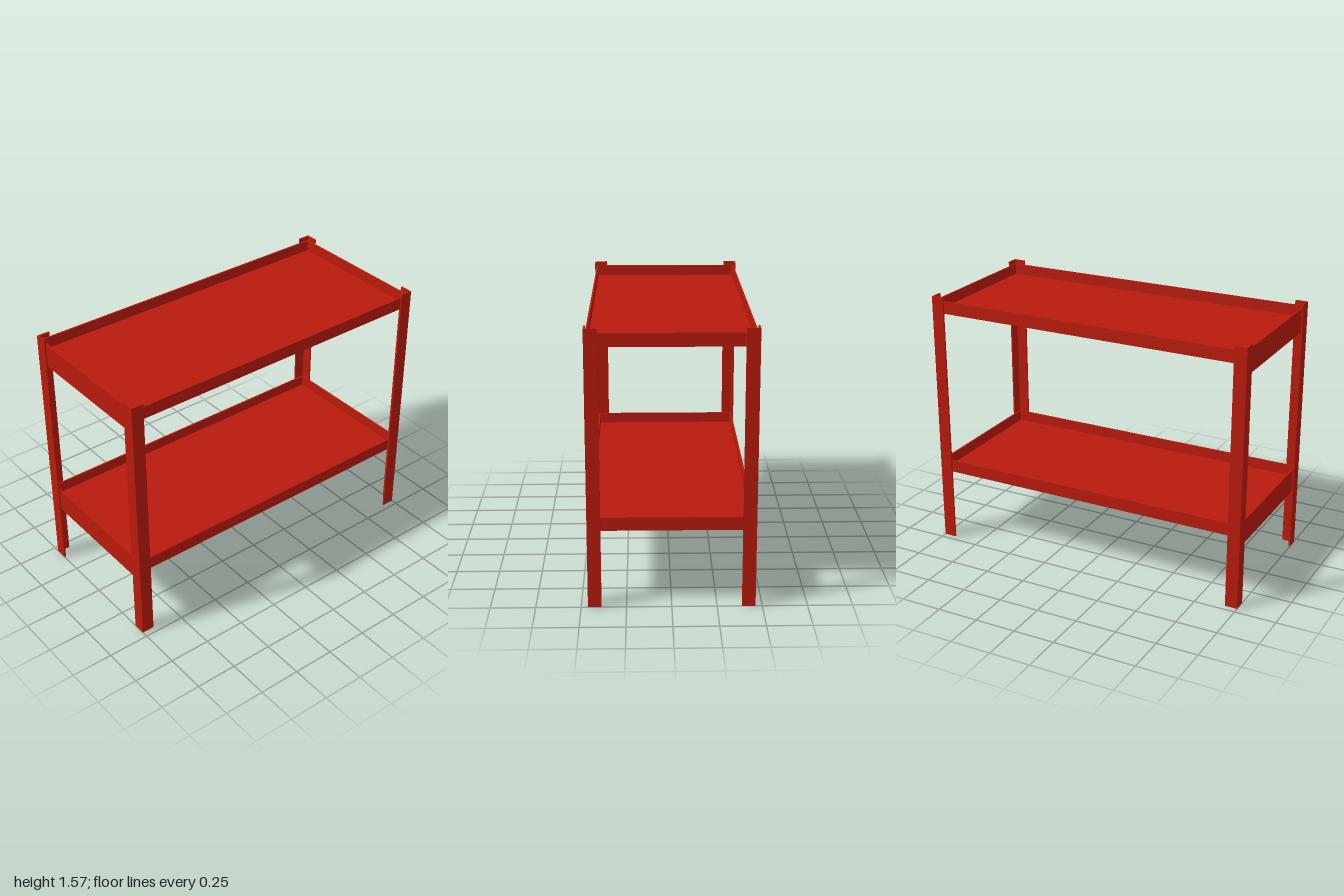
import * as THREE from 'three';

const HEIGHT = 1.57, HALF_X = 0.4625, HALF_Z = 1;
const ANGLE = 0.075, SHEET = 0.01; // angle-iron flange width and metal thickness
const TRAY_X = HALF_X - SHEET, TRAY_Z = HALF_Z - SHEET;
const LIP = 0.075, APRON = 0.145;

export function createModel() {
  const model = new THREE.Group();
  model.name = 'twoTierShelf';
  const material = new THREE.MeshStandardMaterial({ color: 0xb81a0c });

  const add = (parent, name, geometry, x, y, z) => {
    const mesh = new THREE.Mesh(geometry, material);
    mesh.name = name;
    mesh.position.set(x, y, z);
    parent.add(mesh);
    return mesh;
  };

  // L-section posts, the corner of each L facing outwards
  const makePost = (sx, sz) => {
    const profile = [[0, 0], [ANGLE, 0], [ANGLE, SHEET], [SHEET, SHEET], [SHEET, ANGLE], [0, ANGLE]];
    const shape = new THREE.Shape(profile.map(([a, b]) =>
      new THREE.Vector2(sx * (HALF_X - a), -sz * (HALF_Z - b))));
    const geometry = new THREE.ExtrudeGeometry(shape, { depth: HEIGHT, bevelEnabled: false });
    geometry.rotateX(-Math.PI / 2);
    return geometry;
  };
  for (const sx of [-1, 1]) {
    for (const sz of [-1, 1]) {
      add(model, `${sz > 0 ? 'front' : 'back'}${sx > 0 ? 'Left' : 'Right'}Post`, makePost(sx, sz), 0, 0, 0);
    }
  }

  // Trays: floor at the bottom of the lips, with a deeper apron in front
  for (const [name, top] of [['lowerTray', 0.522], ['upperTray', 1.545]]) {
    const tray = new THREE.Group();
    tray.name = name;
    model.add(tray);
    const innerX = 2 * (TRAY_X - SHEET), innerZ = 2 * (TRAY_Z - SHEET);
    add(tray, 'floor', new THREE.BoxGeometry(innerX, SHEET, innerZ), 0, top - LIP + SHEET / 2, 0);
    for (const sx of [-1, 1]) {
      add(tray, sx > 0 ? 'leftLip' : 'rightLip', new THREE.BoxGeometry(SHEET, LIP, innerZ),
        sx * (TRAY_X - SHEET / 2), top - LIP / 2, 0);
    }
    for (const [part, sz, h] of [['frontApron', 1, APRON], ['backLip', -1, LIP]]) {
      add(tray, part, new THREE.BoxGeometry(2 * TRAY_X, h, SHEET),
        0, top - h / 2, sz * (TRAY_Z - SHEET / 2));
    }
  }

  return model;
}
